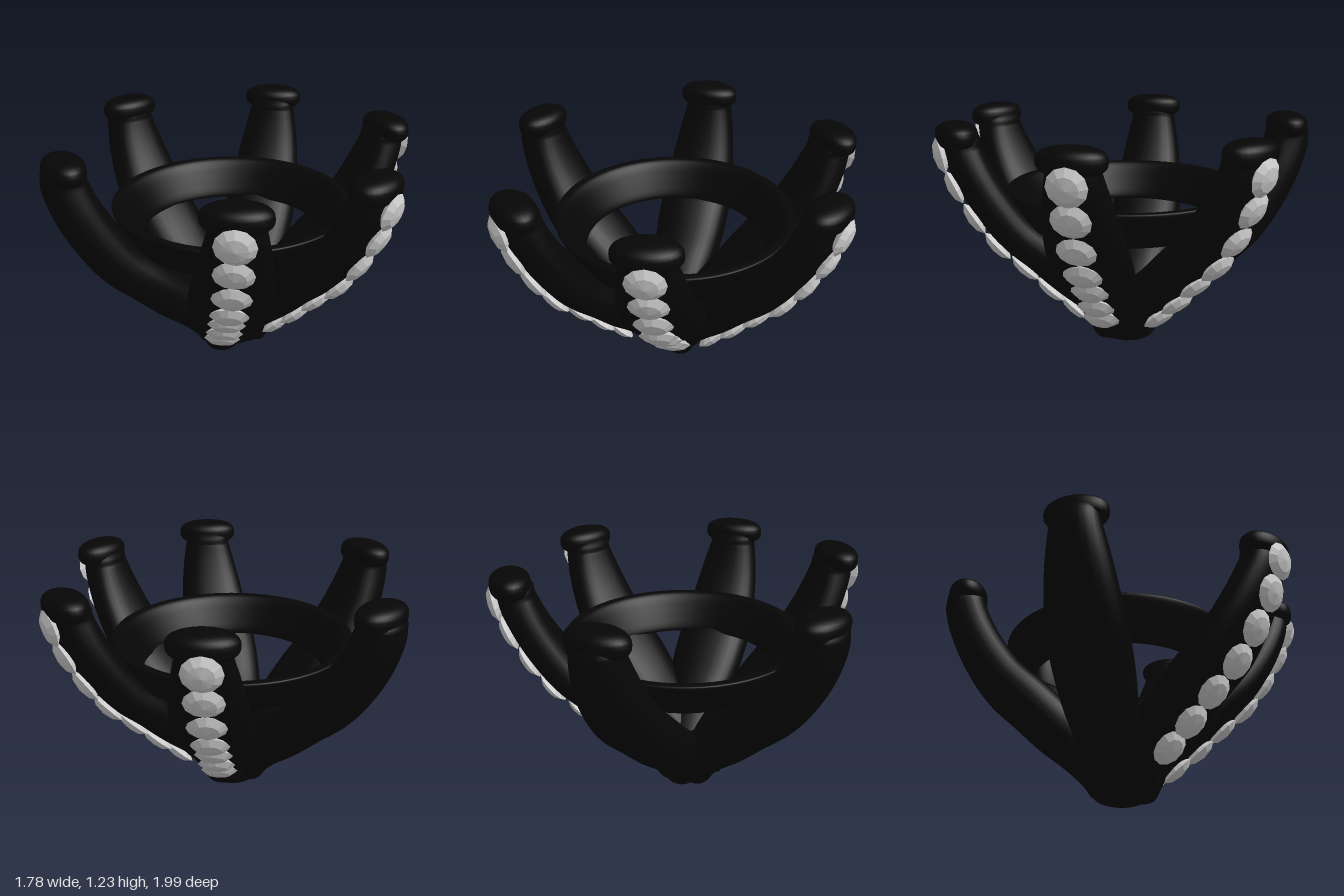
import * as THREE from 'three';

const metal = new THREE.MeshStandardMaterial({ color: 0x060606 });
const stone = new THREE.MeshStandardMaterial({ color: 0xcccccc, flatShading: true });

// Outer line of a prong: distance along its lean (0..1), height, half width
const PROFILE = [
  [-0.22, 0.015, 0.09], [-0.16, 0.095, 0.125], [0, 0.21, 0.16], [0.19, 0.32, 0.185], [0.39, 0.45, 0.2],
  [0.6, 0.58, 0.2], [0.77, 0.735, 0.185], [0.91, 0.905, 0.16], [1, 1.07, 0.13], [1.01, 1.17, 0.12],
];
const FIRST_GEM = 2, LAST_GEM = 8;

// Each prong: outer point near the foot and at the tip (x, z), the way it faces,
// and whether it is set with stones
const PRONGS = [
  { name: 'frontProng', foot: [-0.03, 0.33], tip: [0.125, 0.96], face: [0.05, 1], gems: true },
  { name: 'backProng', foot: [0.045, -0.31], tip: [0.11, -0.96], face: [0.05, -1], gems: true },
  { name: 'leftFrontProng', foot: [0.24, 0.13], tip: [0.78, 0.515], face: [0.866, 0.5], gems: true },
  { name: 'leftBackProng', foot: [0.27, -0.1], tip: [0.835, -0.45], face: [0.866, -0.5], gems: true },
  { name: 'rightFrontProng', foot: [-0.3, 0.14], tip: [-0.84, 0.49], face: [-0.84, 0.54], gems: false },
  { name: 'rightBackProng', foot: [-0.27, -0.18], tip: [-0.76, -0.61], face: [-0.75, -0.66], gems: false },
];

const spow = (v, e) => Math.sign(v) * Math.abs(v) ** e;

// Squashed round lathe profile of radius 1 and half height 1
function pillow(e) {
  const pts = [];
  for (let i = 0; i <= 16; i++) {
    const a = -Math.PI / 2 + (Math.PI * i) / 16;
    pts.push(new THREE.Vector2(Math.max(0, spow(Math.cos(a), e)), spow(Math.sin(a), e)));
  }
  pts[0].x = pts[16].x = 0;
  return new THREE.LatheGeometry(pts, 32);
}

// Round-cut stone: low crown and pavilion
const gemGeometry = new THREE.LatheGeometry(
  [[0, -0.036], [0.06, -0.026], [0.096, 0], [0.06, 0.026], [0, 0.036]]
    .map(([r, y]) => new THREE.Vector2(r, y)), 12);
const clawGeometry = pillow(0.75);

function makeProng({ name, foot, tip, face, gems }) {
  const group = new THREE.Group();
  group.name = name;
  const up = new THREE.Vector3(0, 1, 0);
  const origin = new THREE.Vector3(foot[0], 0, foot[1]);
  const lean = new THREE.Vector3(tip[0], 0, tip[1]).sub(origin);
  const length = lean.length();
  lean.normalize();
  const out = new THREE.Vector3(face[0], 0, face[1]).normalize();
  const side = new THREE.Vector3().crossVectors(up, out);
  const curve = new THREE.CatmullRomCurve3(PROFILE.map(([t, y, w]) => new THREE.Vector3(t * length, y, w)));

  // Point on the outer line, with its outward normal
  const frame = (k) => {
    const p = curve.getPoint(k), t = curve.getTangent(k);
    const l = Math.hypot(t.x, t.y);
    const n = out.clone().multiplyScalar(t.y / l).addScaledVector(up, -t.x / l);
    return { p: origin.clone().addScaledVector(lean, p.x).addScaledVector(up, p.y), n, w: p.z };
  };

  // Body: rounded cross-sections along the curve, closed at both ends;
  // plain prongs are fuller on the outside
  const rows = 44, sides = 28, pos = [], index = [];
  for (let i = 0; i <= rows; i++) {
    const k = Math.min(1, Math.max(0, (i - 1) / (rows - 2)));
    const { p, n, w } = frame(k);
    const bulge = gems ? -0.016 : 0.04 * Math.sin(Math.PI * Math.min(1, k * 0.85));
    const d = 0.095 + 0.03 * (1 - k) + Math.max(0, bulge) / 2;
    const f = i === 0 || i === rows ? 0 : i === 1 || i === rows - 1 ? 0.85 : 1;
    const c = p.addScaledVector(n, bulge - d);
    for (let j = 0; j < sides; j++) {
      const a = (2 * Math.PI * j) / sides;
      const q = c.clone().addScaledVector(side, f * w * spow(Math.cos(a), 0.85))
        .addScaledVector(n, f * d * spow(Math.sin(a), 0.85));
      pos.push(q.x, q.y, q.z);
      if (i < rows) {
        const a0 = i * sides + j, b0 = i * sides + ((j + 1) % sides);
        index.push(a0, a0 + sides, b0, b0, a0 + sides, b0 + sides);
      }
    }
  }
  const geometry = new THREE.BufferGeometry();
  geometry.setAttribute('position', new THREE.Float32BufferAttribute(pos, 3));
  geometry.setIndex(index);
  geometry.computeVertexNormals();
  const body = new THREE.Mesh(geometry, metal);
  body.name = 'prongBody';
  group.add(body);

  // Flattened claw on the tip
  const claw = new THREE.Mesh(clawGeometry, metal);
  claw.name = 'prongClaw';
  claw.position.set(tip[0], 1.168, tip[1]).addScaledVector(out, -0.085);
  claw.rotation.y = Math.atan2(out.x, out.z);
  claw.scale.set(0.163, 0.067, 0.105);
  group.add(claw);

  // Row of stones down the outside
  for (let i = FIRST_GEM; gems && i <= LAST_GEM; i++) {
    const { p, n } = frame(i / (PROFILE.length - 1));
    const gem = new THREE.Mesh(gemGeometry, stone);
    gem.name = 'stone';
    gem.position.copy(p);
    gem.quaternion.setFromRotationMatrix(
      new THREE.Matrix4().makeBasis(side, n, new THREE.Vector3().crossVectors(side, n)));
    group.add(gem);
  }
  return group;
}

export function createModel() {
  const model = new THREE.Group();
  PRONGS.forEach((p) => model.add(makeProng(p)));

  // Gallery ring: slanted band that flares towards the top
  const section = [];
  for (let i = 0; i <= 32; i++) {
    const a = (2 * Math.PI * i) / 32;
    const rise = spow(Math.sin(a), 0.5);
    section.push(new THREE.Vector2(0.552 + 0.055 * rise + 0.037 * spow(Math.cos(a), 0.5), 0.77 + 0.1 * rise));
  }
  const ring = new THREE.Mesh(new THREE.LatheGeometry(section, 72), metal);
  ring.name = 'galleryRing';
  ring.position.set(-0.025, 0, -0.01);
  model.add(ring);

  // Core where the prongs meet
  const core = new THREE.Mesh(pillow(0.6), metal);
  core.name = 'baseCore';
  core.position.set(-0.025, 0.1, -0.025);
  core.scale.set(0.16, 0.09, 0.15);
  model.add(core);
  return model;
}
